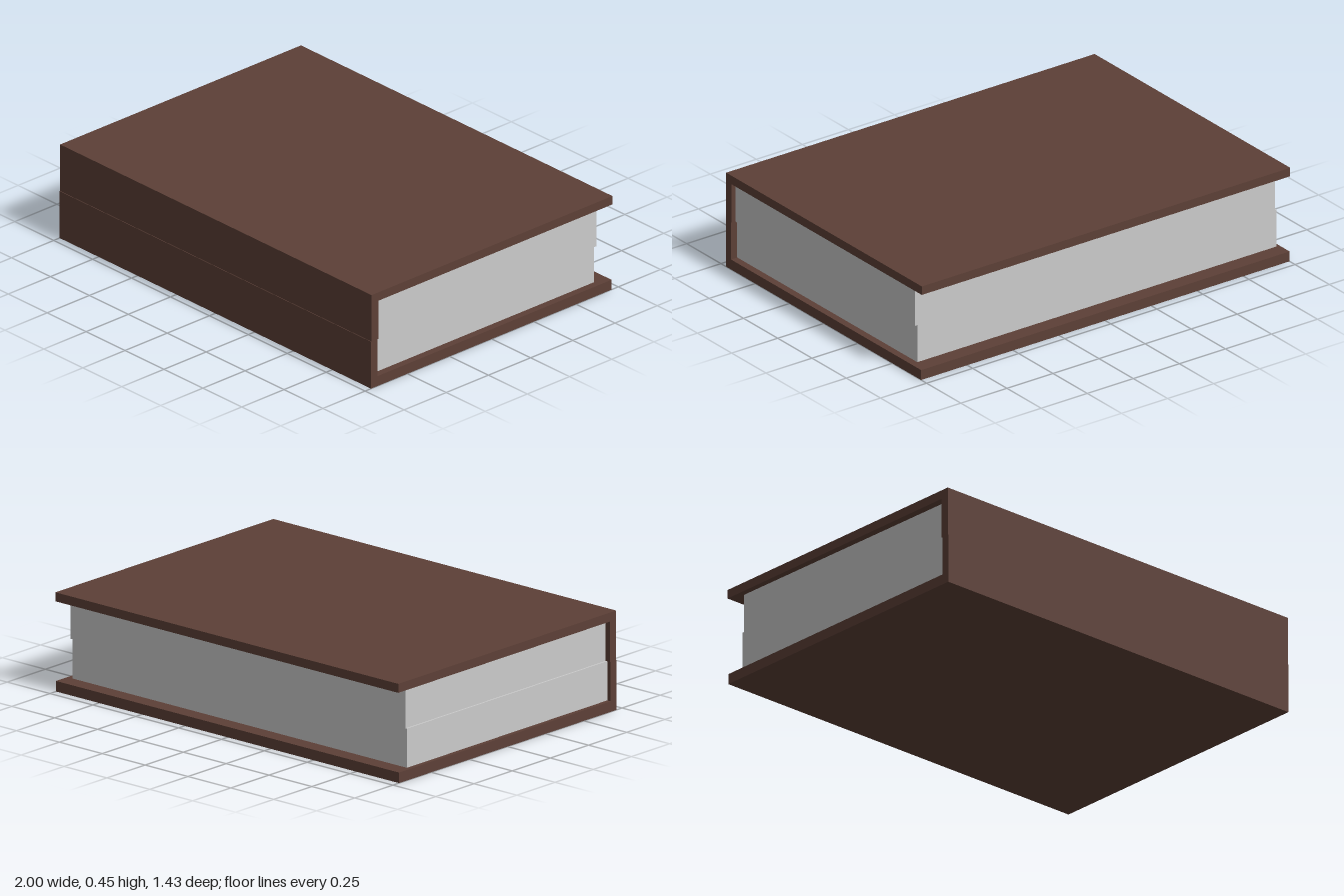
import * as THREE from 'three';

const coverMaterial = new THREE.MeshStandardMaterial({ color: 0x5d4037, flatShading: true });
const pageMaterial = new THREE.MeshStandardMaterial({ color: 0xcccccc, flatShading: true });

// Extrudes a side profile of [z, y] points along x, from x0 to x1
function addProfile(group, name, points, x0, x1, material) {
  const shape = new THREE.Shape(points.map(([z, y]) => new THREE.Vector2(z, y)));
  const geometry = new THREE.ExtrudeGeometry(shape, { depth: x1 - x0, bevelEnabled: false });
  geometry.rotateY(-Math.PI / 2).translate(x1, 0, 0);
  const mesh = new THREE.Mesh(geometry, material);
  mesh.name = name;
  group.add(mesh);
}

export function createModel() {
  const book = new THREE.Group();
  book.name = 'book';
  const seam = 0.228;

  // L-shaped cover halves: a board plus half of the spine, meeting at the seam
  addProfile(book, 'lowerCover',
    [[-0.71, 0], [0.715, 0], [0.715, seam], [0.676, seam], [0.676, 0.048], [-0.71, 0.048]],
    -1, 1, coverMaterial);
  addProfile(book, 'upperCover',
    [[-0.715, 0.413], [0.672, 0.413], [0.672, seam], [0.712, seam], [0.712, 0.454], [-0.715, 0.454]],
    -1, 1, coverMaterial);

  // Two page blocks, slightly out of line; the upper one sinks towards the spine
  addProfile(book, 'lowerPages',
    [[-0.638, 0.049], [0.676, 0.049], [0.676, seam], [-0.638, seam]],
    -0.982, 0.967, pageMaterial);
  addProfile(book, 'upperPages',
    [[-0.638, seam], [0.672, seam], [0.672, 0.406], [-0.638, 0.412]],
    -0.974, 0.98, pageMaterial);

  return book;
}
